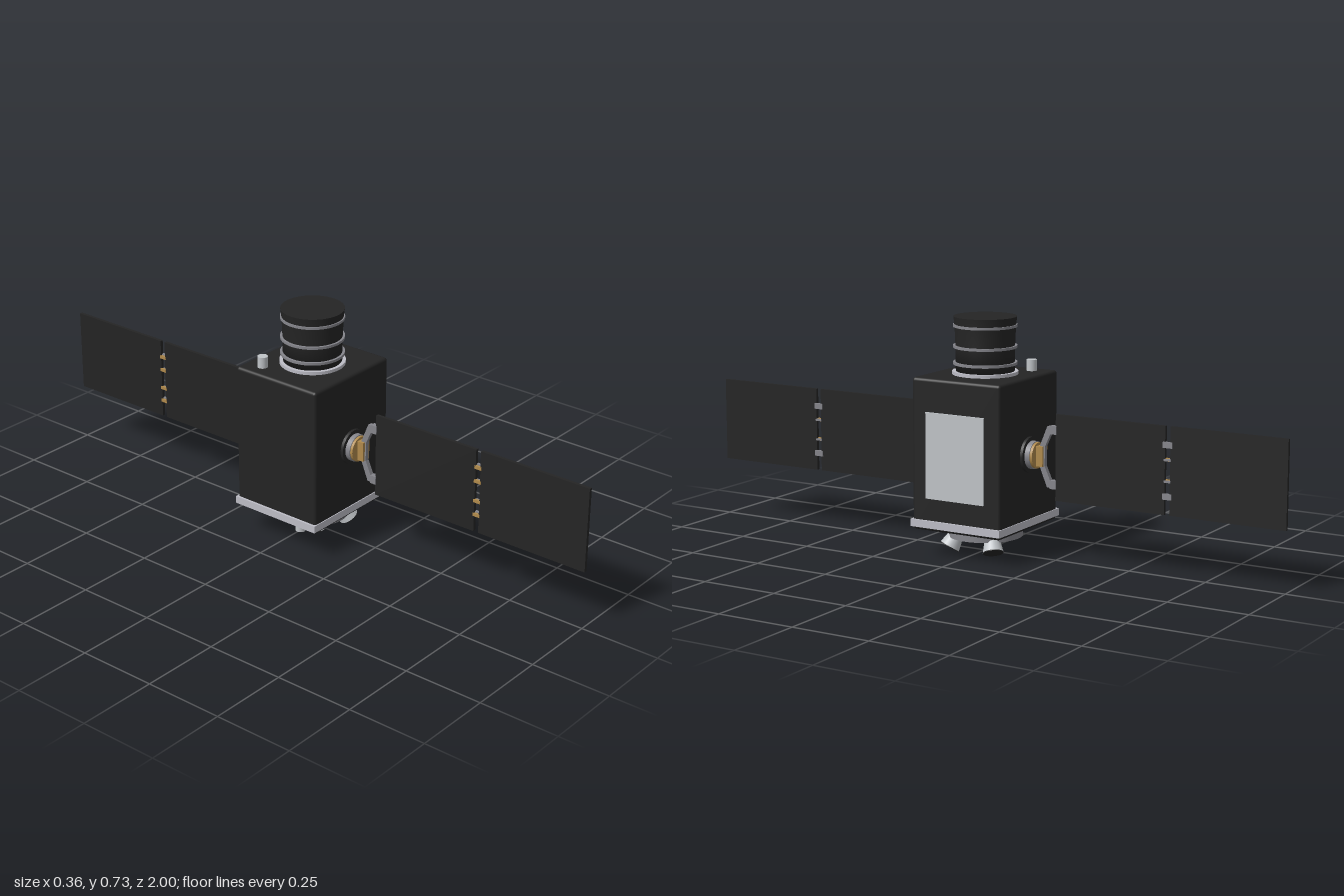
import * as THREE from 'three';
import { RoundedBoxGeometry } from 'three/addons/geometries/RoundedBoxGeometry.js';

const paint = (name, color) => {
  const m = new THREE.MeshStandardMaterial({ color });
  m.name = name;
  return m;
};

export function createModel() {
  const black = paint('black foil', 0x242424);
  const silver = paint('silver', 0xc0c4c8);
  const pale = paint('pale grey', 0xbdbdc6);
  const grey = paint('mid grey', 0x85858b);
  const gold = paint('gold', 0xb08a4c);

  const model = new THREE.Group();
  model.name = 'satellite';
  const add = (parent, name, geometry, material, x = 0, y = 0, z = 0) => {
    const mesh = new THREE.Mesh(geometry, material);
    mesh.name = name;
    mesh.position.set(x, y, z);
    parent.add(mesh);
    return mesh;
  };
  const box = (w, h, d) => new THREE.BoxGeometry(w, h, d);
  const cyl = (top, bottom, h, n = 32) => new THREE.CylinderGeometry(top, bottom, h, n);

  // Bus
  add(model, 'body', new RoundedBoxGeometry(0.347, 0.47, 0.31, 3, 0.01), black, -0.001, 0.318, 0);
  add(model, 'basePlate', box(0.362, 0.023, 0.316), pale, -0.001, 0.1045, 0);
  add(model, 'radiator', box(0.008, 0.266, 0.203), silver, 0.175, 0.318, 0.001);
  add(model, 'adapterRing', cyl(0.117, 0.117, 0.034, 40), grey, 0, 0.067, 0);

  // Telescope barrel with clamp rings
  add(model, 'barrelFlange', cyl(0.101, 0.101, 0.01, 40), pale, 0, 0.558, 0);
  const barrel = [[0, 0.56], [0.09, 0.56], [0.091, 0.64], [0.0935, 0.70], [0.097, 0.73]]
    .map(([r, y]) => new THREE.Vector2(r, y));
  add(model, 'barrel', new THREE.LatheGeometry(barrel, 40), black);
  add(model, 'barrelLid', new THREE.CircleGeometry(0.097, 40).rotateX(-Math.PI / 2), black, 0, 0.73, 0);
  for (const y of [0.587, 0.638, 0.702]) {
    add(model, 'barrelRing', cyl(0.098, 0.098, 0.008, 40), grey, 0, y, 0);
  }
  add(model, 'starSensor', cyl(0.016, 0.016, 0.036, 24), silver, -0.124, 0.57, -0.092);

  // Underside: thrusters given by root, mouth and mouth radius
  const thrusters = [
    [[0.062, 0.06, 0.062], [0.082, 0.019, 0.078], 0.032],
    [[0.062, 0.06, -0.062], [0.082, 0.019, -0.078], 0.032],
    [[-0.055, 0.06, 0.062], [-0.058, 0.025, 0.07], 0.021],
  ];
  for (const [root, mouth, r] of thrusters) {
    const a = new THREE.Vector3(...root), b = new THREE.Vector3(...mouth);
    const thruster = new THREE.Group();
    thruster.name = 'thruster';
    const length = a.distanceTo(b);
    add(thruster, 'thrusterBell', cyl(r * 0.68, r, length, 24), silver);
    add(thruster, 'thrusterMouth', cyl(r * 0.97, r * 0.97, 0.004, 24), black, 0, -length / 2, 0);
    thruster.position.copy(a).add(b).multiplyScalar(0.5);
    thruster.quaternion.setFromUnitVectors(new THREE.Vector3(0, 1, 0), a.sub(b).normalize());
    model.add(thruster);
  }
  add(model, 'antenna', cyl(0.016, 0.016, 0.055, 24), silver, -0.058, 0.0275, 0);

  // Yoke outline: an open bracket, drawn with z across and y up
  const outer = [[0.252, 0.094], [0.222, 0.094], [0.198, 0.035]];
  const inner = [[0.214, 0.03], [0.234, 0.074], [0.252, 0.074]];
  const upper = [...outer, ...outer.slice().reverse().map(([z, y]) => [z, -y])];
  const lower = [...inner.slice().reverse().map(([z, y]) => [z, -y]), ...inner];
  const yokeShape = new THREE.Shape([...upper, ...lower].map(([z, y]) => new THREE.Vector2(z, y)));
  const yokeGeometry = new THREE.ExtrudeGeometry(yokeShape, { depth: 0.014, bevelEnabled: false });
  yokeGeometry.translate(0, 0, -0.007).rotateY(-Math.PI / 2);

  // Solar wings, front and back
  for (const s of [1, -1]) {
    const wing = new THREE.Group();
    wing.name = s > 0 ? 'frontWing' : 'backWing';
    wing.position.y = 0.318;
    const disc = (name, r, from, to, material) => add(wing, name,
      cyl(r, r, to - from, 24).rotateX(Math.PI / 2), material, 0, 0, s * (from + to) / 2);
    disc('hubCollar', 0.055, 0.15, 0.164, black);
    disc('hubBearing', 0.043, 0.16, 0.18, grey);
    disc('hubCap', 0.04, 0.178, 0.188, gold);
    add(wing, 'hubBlock', box(0.03, 0.062, 0.028), gold, 0, 0, s * 0.196);

    const yoke = add(wing, 'yoke', yokeGeometry, grey);
    if (s < 0) yoke.rotation.y = Math.PI;
    for (const z of [0.4325, 0.816]) {
      add(wing, 'solarPanel', box(0.01, 0.265, z < 0.5 ? 0.365 : 0.368), black, 0, 0, s * z);
    }
    // Hinges between panels, gold on the rear face
    for (const y of [0.077, 0.032, -0.032, -0.077]) {
      const main = Math.abs(y) > 0.05;
      const h = main ? 0.018 : 0.006;
      add(wing, 'hinge', box(0.008, h, main ? 0.03 : 0.022), grey, 0.004, y, s * 0.6235);
      add(wing, 'hingeSpring', box(0.007, 0.01, 0.024), gold, -0.0035, y, s * 0.6235);
    }
    for (const y of [0.084, -0.084]) {
      add(wing, 'yokeClamp', box(0.018, 0.026, 0.02), grey, 0, y, s * 0.243);
    }
    model.add(wing);
  }
  return model;
}
